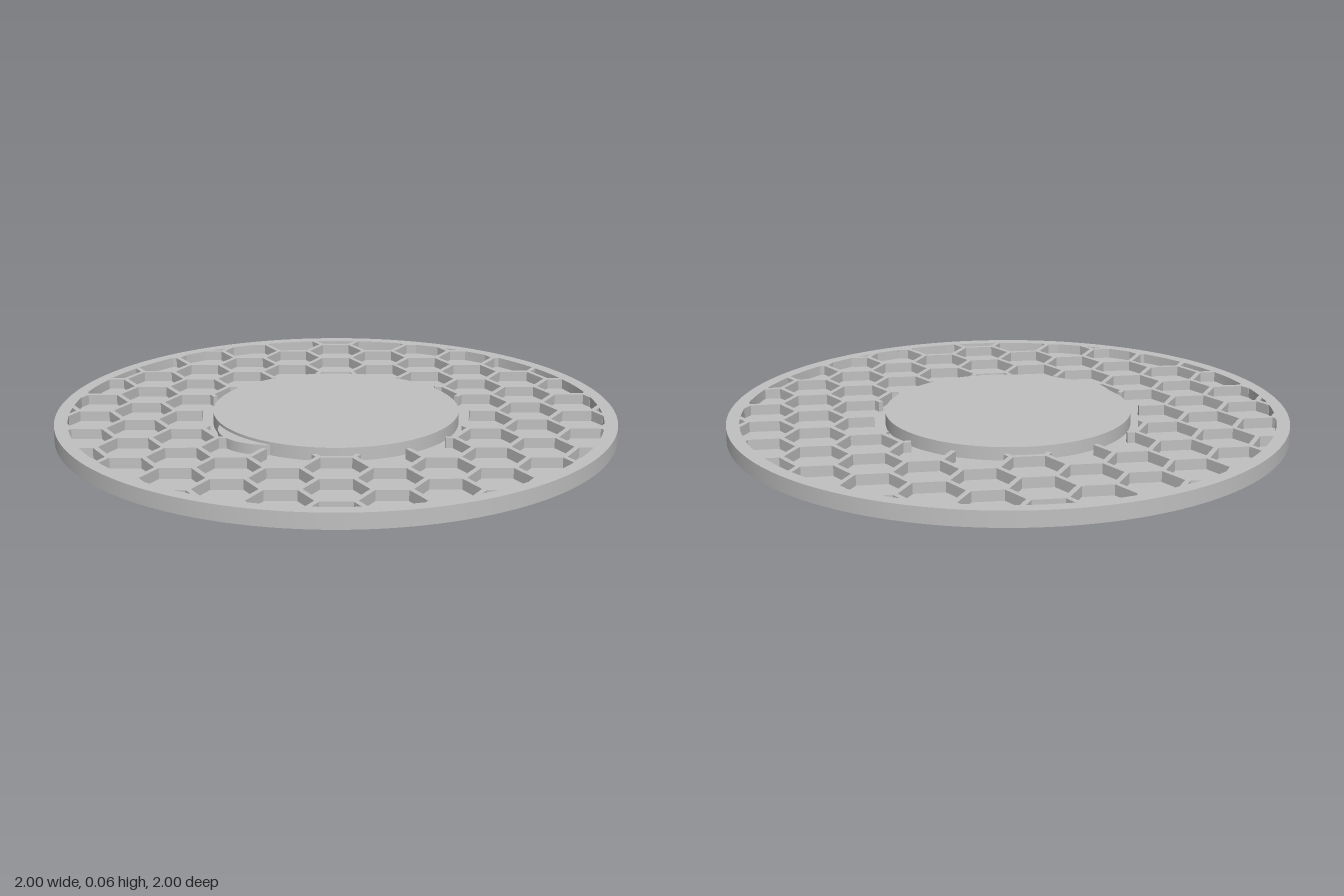
import * as THREE from 'three';
import { mergeGeometries, toCreasedNormals } from 'three/addons/utils/BufferGeometryUtils.js';

const FLOOR = 0.018, TOP = 0.055, BOSS_TOP = 0.065;
const RIM_INNER = 0.953, BOSS_RADIUS = 0.44;
const RIB_WIDTH = 0.018, RIB_START = 0.478, RIB_END = 0.96;
const PITCH = 0.2, SIDE = PITCH / Math.sqrt(3);

// Part of a lattice edge lying between the boss gap and the rim
function clipEdge(a, b) {
  const steps = 80;
  let first = null, last = null;
  for (let i = 0; i <= steps; i++) {
    const p = a.clone().lerp(b, i / steps);
    const r = p.length();
    if (r < RIB_START || r > RIB_END) continue;
    first ??= p;
    last = p;
  }
  return first && first.distanceTo(last) > 0.004 ? [first, last] : null;
}

// One straight rib standing on the floor
function ribGeometry(a, b) {
  const height = TOP - FLOOR + 0.002;
  const g = new THREE.BoxGeometry(a.distanceTo(b), height, RIB_WIDTH);
  g.rotateY(-Math.atan2(b.y - a.y, b.x - a.x));
  g.translate((a.x + b.x) / 2, TOP - height / 2, (a.y + b.y) / 2);
  return g;
}

// Honeycomb: three edges per cell cover every shared wall once
function honeycombGeometry() {
  const ribs = [];
  for (let i = -8; i <= 8; i++) {
    for (let j = -7; j <= 7; j++) {
      const cx = i * SIDE * 1.5;
      const cz = j * PITCH + (i % 2 ? PITCH / 2 : 0);
      const corner = (k) => new THREE.Vector2(
        cx + SIDE * Math.cos(k * Math.PI / 3), cz + SIDE * Math.sin(k * Math.PI / 3));
      for (let k = 0; k < 3; k++) {
        const edge = clipEdge(corner(k), corner(k + 1));
        if (edge) ribs.push(ribGeometry(...edge));
      }
    }
  }
  return mergeGeometries(ribs);
}

function disc(radius, top, x = 0, z = 0) {
  const height = top - FLOOR + 0.002;
  return new THREE.CylinderGeometry(radius, radius, height, 96).translate(x, top - height / 2, z);
}

export function createModel() {
  const model = new THREE.Group();
  model.name = 'honeycombCoaster';
  const grey = new THREE.MeshStandardMaterial({ color: 0xc0c0c0 });
  grey.name = 'lightGrey';

  const add = (name, geometry) => {
    const mesh = new THREE.Mesh(geometry, grey);
    mesh.name = name;
    model.add(mesh);
  };

  // Tray: underside, outer wall, raised rim and recessed floor
  const profile = [[0, 0], [1, 0], [1, TOP], [RIM_INNER, TOP], [RIM_INNER, FLOOR], [0, FLOOR]]
    .map(([x, y]) => new THREE.Vector2(x, y));
  add('tray', toCreasedNormals(new THREE.LatheGeometry(profile, 160), 0.6));

  add('honeycombRibs', honeycombGeometry());
  add('centreBoss', disc(BOSS_RADIUS, BOSS_TOP));

  // Small rounded bulge at the edge of the boss
  add('bossBulge', disc(0.18, TOP, -0.23, 0.2));

  return model;
}
